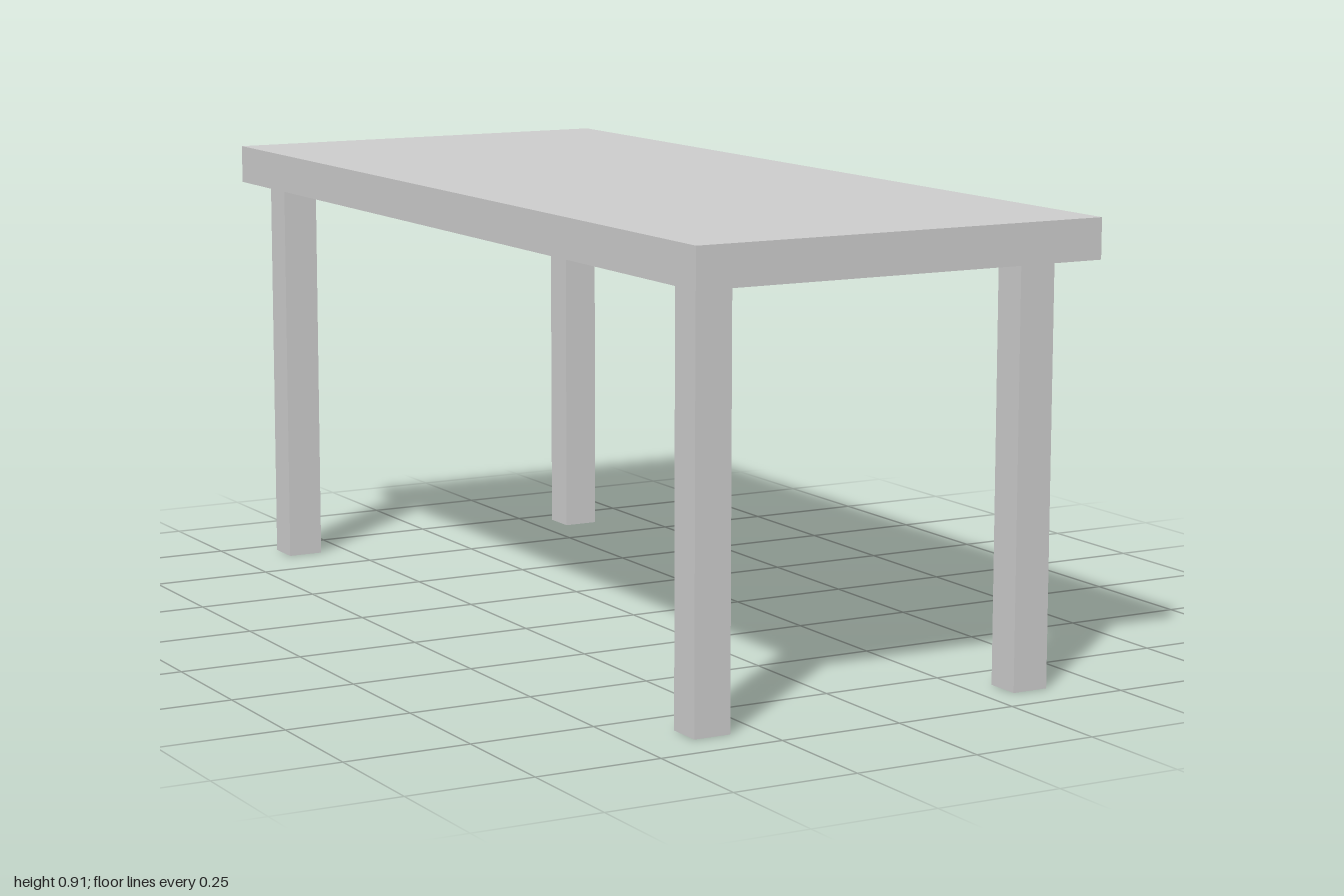
import * as THREE from 'three';

const TOP_Y = 0.905, UNDERSIDE_Y = 0.826;

export function createModel() {
  const table = new THREE.Group();
  table.name = 'table';
  const material = new THREE.MeshStandardMaterial({ color: 0xcccccc, flatShading: true });

  function addBox(name, size, position) {
    const mesh = new THREE.Mesh(new THREE.BoxGeometry(...size), material);
    mesh.name = name;
    mesh.position.set(...position);
    table.add(mesh);
  }

  // Thick slab top
  addBox('tabletop', [0.864, TOP_Y - UNDERSIDE_Y, 2], [0, (TOP_Y + UNDERSIDE_Y) / 2, 0]);

  // Four square legs; the back pair stands slightly nearer its end
  for (const [end, z] of [['front', 0.882], ['back', -0.914]]) {
    for (const [side, x] of [['Left', 0.348], ['Right', -0.348]]) {
      addBox(`${end}${side}Leg`, [0.075, UNDERSIDE_Y, 0.073], [x, UNDERSIDE_Y / 2, z]);
    }
  }
  return table;
}
